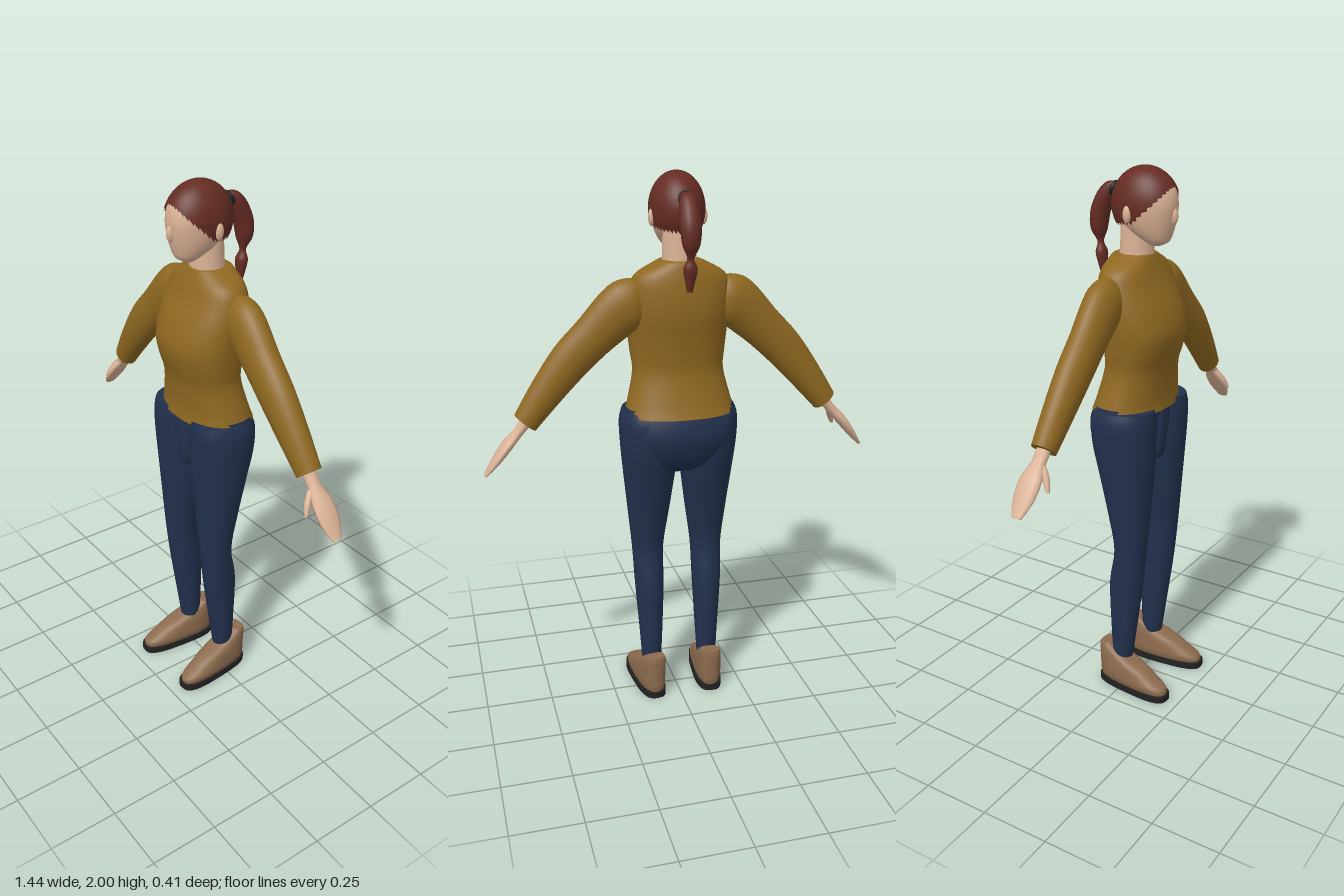
import * as THREE from 'three';
import { mergeVertices } from 'three/addons/utils/BufferGeometryUtils.js';

const mat = (name, color, extra = {}) => Object.assign(new THREE.MeshStandardMaterial({ color, ...extra }), { name });

// Catmull-Rom refinement of section rows
function refine(rows, steps) {
  const out = [];
  for (let i = 0; i < rows.length - 1; i++) {
    const [a, b, c, d] = [-1, 0, 1, 2].map(k => rows[Math.min(Math.max(i + k, 0), rows.length - 1)]);
    for (let s = 0; s < steps; s++) {
      const t = s / steps;
      out.push(b.map((_, k) => 0.5 * (2 * b[k] + (c[k] - a[k]) * t
        + (2 * a[k] - 5 * b[k] + 4 * c[k] - d[k]) * t * t
        + (3 * b[k] - a[k] - 3 * c[k] + d[k]) * t * t * t)));
    }
  }
  out.push(rows[rows.length - 1]);
  return out;
}

// Skin over oval sections [x, y, z, radius across, radius in z, heading in degrees].
// Heading 90 runs straight up; power above 2 squares the ovals.
function loft(rows, { sides = 28, steps = 4, power = 2 } = {}) {
  const pos = [], idx = [], rings = refine(rows, steps);
  const bend = v => Math.sign(v) * Math.abs(v) ** (2 / power);
  const ring = ([x, y, z, ru, rv, deg]) => {
    const a = deg * Math.PI / 180;
    for (let j = 0; j < sides; j++) {
      const t = j / sides * Math.PI * 2, u = ru * bend(Math.cos(t)), v = rv * bend(Math.sin(t));
      pos.push(x - Math.sin(a) * u, y + Math.cos(a) * u, z + v);
    }
  };
  rings.forEach(ring);
  for (let i = 0; i < rings.length - 1; i++) for (let j = 0; j < sides; j++) {
    const a = i * sides + j, b = i * sides + (j + 1) % sides;
    idx.push(a, b, b + sides, a, b + sides, a + sides);
  }
  // Flat end caps with their own corners
  [[rings[0], true], [rings[rings.length - 1], false]].forEach(([r, start]) => {
    const base = pos.length / 3;
    ring(r);
    pos.push(r[0], r[1], r[2]);
    for (let j = 0; j < sides; j++) {
      const a = base + j, b = base + (j + 1) % sides;
      idx.push(...(start ? [b, a, base + sides] : [a, b, base + sides]));
    }
  });
  const g = new THREE.BufferGeometry();
  g.setAttribute('position', new THREE.Float32BufferAttribute(pos, 3));
  g.setIndex(idx);
  g.computeVertexNormals();
  return g;
}

// Upright section given by its back and front z
const up = (y, half, back, front, x = 0) => [x, y, (back + front) / 2, half, (front - back) / 2, 90];
const mirror = (rows, s) => rows.map(([x, y, z, u, v, a]) => [s * x, y, z, u, v, s > 0 ? a : 180 - a]);

export function createModel() {
  const model = new THREE.Group();
  model.name = 'woman';
  const shirt = mat('mustard shirt', 0x8f6821), jeans = mat('navy trousers', 0x22314d);
  const skin = mat('skin', 0xdab296), handSkin = skin;
  const hair = mat('auburn hair', 0x642c23, { side: THREE.DoubleSide });
  const shoe = mat('brown shoe', 0x8c6b4e), black = mat('black rubber', 0x222222);
  const add = (name, geometry, material, parent = model) => {
    const m = new THREE.Mesh(geometry, material);
    m.name = name;
    parent.add(m);
    return m;
  };

  // Torso
  add('shirt', loft([
    up(1.15, 0.203, -0.148, 0.112), up(1.2, 0.19, -0.13, 0.108), up(1.3, 0.167, -0.105, 0.116),
    up(1.37, 0.173, -0.107, 0.137), up(1.44, 0.18, -0.115, 0.148), up(1.52, 0.184, -0.126, 0.127),
    up(1.6, 0.18, -0.122, 0.088), up(1.655, 0.16, -0.112, 0.066), up(1.695, 0.09, -0.1, 0.05),
    up(1.702, 0.075, -0.092, 0.045),
  ], { sides: 36, power: 2.25 }), shirt);

  // Hips and fly panel
  add('hips', loft([
    up(0.93, 0.09, -0.07, 0.05), up(0.97, 0.165, -0.115, 0.075), up(1.05, 0.203, -0.15, 0.092),
    up(1.11, 0.21, -0.15, 0.096), up(1.175, 0.2, -0.13, 0.096),
  ], { sides: 36, power: 2.2 }), jeans);
  add('flyPanel', loft([
    up(0.95, 0.02, 0.02, 0.085), up(0.99, 0.034, 0.02, 0.1),
    up(1.08, 0.037, 0.02, 0.106), up(1.16, 0.03, 0.02, 0.104),
  ], { sides: 16, power: 3 }), jeans);

  for (const s of [1, -1]) {
    const side = s > 0 ? 'left' : 'right';
    // Leg
    add(side + 'Leg', loft(mirror([
      up(0.12, 0.037, -0.052, 0.026, 0.112), up(0.25, 0.044, -0.058, 0.045, 0.112),
      up(0.45, 0.055, -0.06, 0.073, 0.114), up(0.6, 0.06, -0.036, 0.088, 0.115),
      up(0.75, 0.078, -0.06, 0.1, 0.112), up(0.92, 0.098, -0.098, 0.113, 0.11),
      up(1.03, 0.105, -0.122, 0.12, 0.113), up(1.12, 0.104, -0.125, 0.121, 0.117),
      up(1.165, 0.094, -0.11, 0.115, 0.115),
    ], s)), jeans);

    // Shoe, turned slightly outward
    const foot = new THREE.Group();
    foot.name = side + 'Foot';
    foot.position.set(s * 0.124, 0, 0.045);
    foot.rotation.y = s * 0.1;
    model.add(foot);
    add('sole', loft([up(0, 0.053, -0.155, 0.16), up(0.025, 0.053, -0.155, 0.16)], { steps: 1, power: 3 }), black, foot);
    add('shoe', loft([
      up(0.024, 0.046, -0.15, 0.152), up(0.045, 0.052, -0.154, 0.148), up(0.07, 0.052, -0.154, 0.105),
      up(0.1, 0.05, -0.154, 0.055), up(0.13, 0.046, -0.154, -0.02), up(0.155, 0.042, -0.153, -0.07),
      up(0.172, 0.036, -0.15, -0.1),
    ], { power: 2.6 }), shoe, foot);

    // Sleeve
    add(side + 'Sleeve', loft(mirror([
      [0.15, 1.55, -0.027, 0.085, 0.055, 0], [0.178, 1.55, -0.027, 0.095, 0.062, -4],
      [0.22, 1.533, -0.025, 0.094, 0.062, -24], [0.303, 1.453, -0.02, 0.079, 0.058, -45],
      [0.398, 1.36, -0.016, 0.073, 0.056, -46], [0.49, 1.248, -0.018, 0.06, 0.05, -50],
      [0.564, 1.15, -0.022, 0.047, 0.043, -50],
    ], s)), shirt);

    // Hand and thumb
    add(side + 'Hand', loft(mirror([
      [0.54, 1.18, -0.022, 0.026, 0.03, -50], [0.592, 1.115, -0.023, 0.018, 0.026, -50],
      [0.632, 1.072, -0.025, 0.02, 0.042, -52], [0.675, 1.017, -0.026, 0.015, 0.041, -53],
      [0.715, 0.965, -0.027, 0.006, 0.02, -53],
    ], s), { sides: 10, steps: 2 }), handSkin);
    add(side + 'Thumb', loft(mirror([
      [0.592, 1.11, -0.01, 0.012, 0.016, -60], [0.61, 1.075, 0.018, 0.013, 0.015, -60],
      [0.628, 1.035, 0.036, 0.006, 0.008, -60],
    ], s), { sides: 8, steps: 2 }), handSkin);

    // Ear
    const ear = add(side + 'Ear', new THREE.SphereGeometry(1, 12, 8), skin);
    ear.scale.set(0.012, 0.03, 0.016);
    ear.position.set(s * 0.094, 1.845, 0.003);
  }

  // Neck, face and nose
  add('neck', loft([
    up(1.66, 0.064, -0.082, 0.048), up(1.72, 0.06, -0.075, 0.045), up(1.84, 0.058, -0.07, 0.04),
  ]), skin);
  add('face', loft([
    up(1.735, 0.025, 0.05, 0.085), up(1.75, 0.046, 0.02, 0.11), up(1.785, 0.07, -0.04, 0.124),
    up(1.83, 0.086, -0.08, 0.134), up(1.88, 0.092, -0.095, 0.138), up(1.93, 0.083, -0.085, 0.124),
    up(1.97, 0.055, -0.05, 0.08),
  ]), skin);
  const nose = add('nose', new THREE.SphereGeometry(1, 12, 8), skin);
  nose.scale.set(0.014, 0.03, 0.016);
  nose.position.set(0, 1.838, 0.131);

  // Hair cap whose lower edge rises over the brow
  const cap = new THREE.SphereGeometry(1, 40, 20);
  const p = cap.attributes.position;
  for (let i = 0; i < p.count; i++) {
    const a = Math.atan2(p.getZ(i), p.getX(i)), f = Math.sin(a);
    const edge = f > 0 ? 1.81 + 0.12 * f ** 1.1 : 1.81 + 0.015 * f;
    const t = Math.acos(THREE.MathUtils.clamp(p.getY(i), -1, 1)) / Math.PI * Math.acos((edge - 1.87) / 0.13);
    p.setXYZ(i, 0.098 * Math.sin(t) * Math.cos(a), 1.87 + 0.13 * Math.cos(t), 0.02 + 0.126 * Math.sin(t) * f);
  }
  cap.deleteAttribute('uv');
  cap.deleteAttribute('normal');
  const capGeometry = mergeVertices(cap, 1e-5);
  capGeometry.computeVertexNormals();
  add('hairCap', capGeometry, hair);

  // Ponytail and its tie
  add('ponytail', loft([
    up(1.61, 0.01, -0.165, -0.145), up(1.645, 0.017, -0.175, -0.143), up(1.69, 0.025, -0.184, -0.142),
    up(1.725, 0.012, -0.178, -0.156), up(1.77, 0.03, -0.203, -0.142), up(1.83, 0.037, -0.203, -0.13),
    up(1.89, 0.034, -0.178, -0.108), up(1.925, 0.024, -0.15, -0.1), up(1.937, 0.012, -0.13, -0.1),
  ], { sides: 16 }), hair);
  const tie = add('hairTie', new THREE.TorusGeometry(0.02, 0.009, 8, 20), black);
  tie.position.set(0, 1.915, -0.105);
  tie.rotation.x = 0.4;

  model.position.x = -0.012;
  return model;
}
